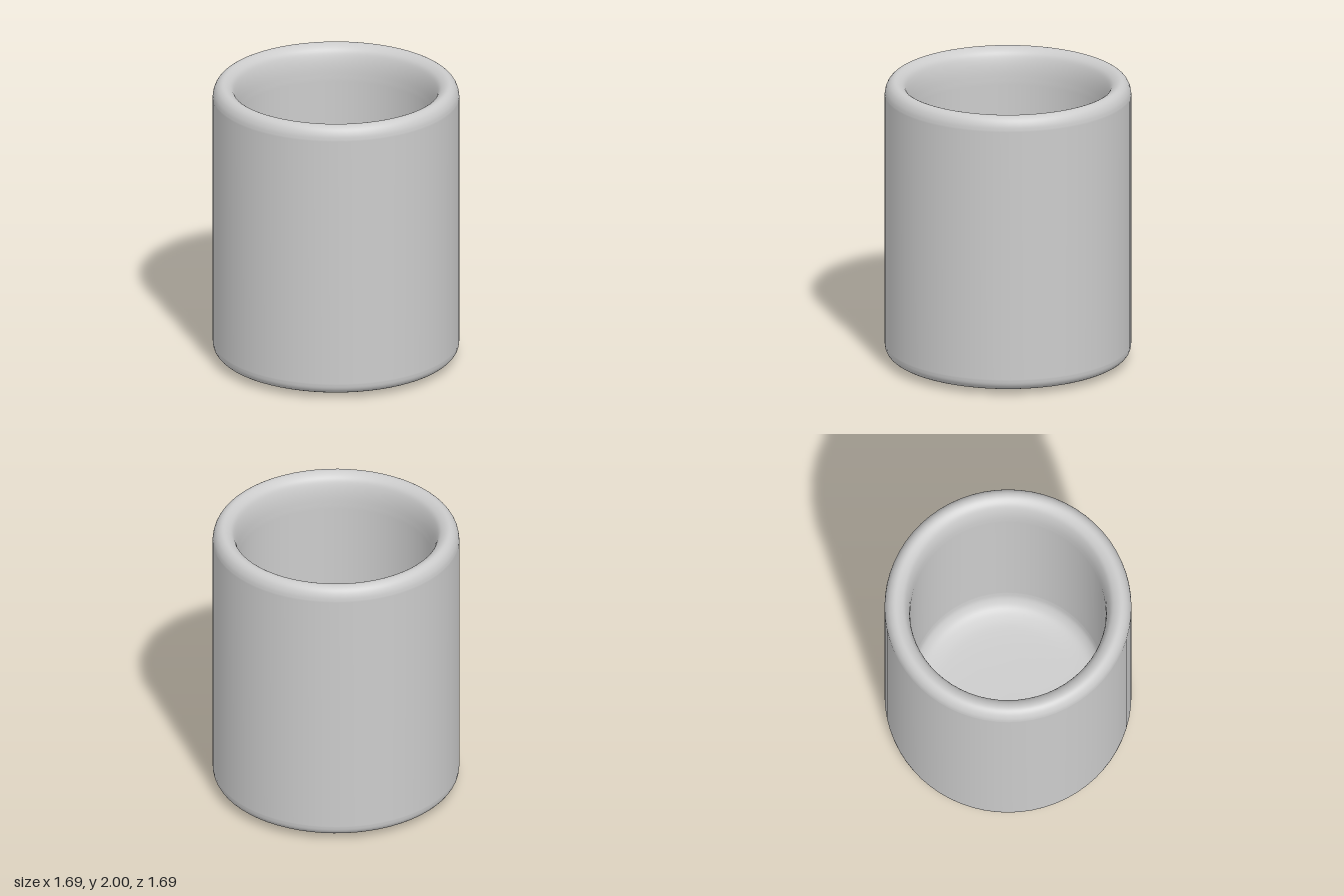
import * as THREE from 'three';

// Smooth curve through [radius, height] pairs, kept free of overshoot
function smoothProfile(pairs, steps) {
  const curve = new THREE.CatmullRomCurve3(
    pairs.map(([r, y]) => new THREE.Vector3(r, y, 0)), false, 'centripetal');
  return curve.getPoints(steps).map((p) => new THREE.Vector2(Math.max(0, p.x), p.y));
}

export function createModel() {
  const group = new THREE.Group();
  group.name = 'cup';
  const material = new THREE.MeshStandardMaterial({ color: 0xcccccc });

  // One closed wall: slightly bulging base, outer side, rounded rim, inner side, bowl floor
  const base = [[0, 0], [0.4, 0.004], [0.65, 0.015], [0.76, 0.027], [0.815, 0.05], [0.838, 0.08], [0.845, 0.12]];
  const rim = [[0.845, 1.9], [0.838, 1.94], [0.82, 1.975], [0.795, 1.995], [0.77, 2],
    [0.74, 1.99], [0.71, 1.965], [0.69, 1.92], [0.676, 1.85], [0.67, 1.75]];
  const floor = [[0.668, 0.35], [0.655, 0.27], [0.61, 0.21], [0.53, 0.18], [0.4, 0.165], [0, 0.155]];
  const profile = [
    ...smoothProfile(base, 24),
    ...smoothProfile(rim, 32),
    ...smoothProfile(floor, 24),
  ];
  const cup = new THREE.Mesh(new THREE.LatheGeometry(profile, 64), material);
  cup.name = 'cupBody';
  group.add(cup);
  return group;
}
